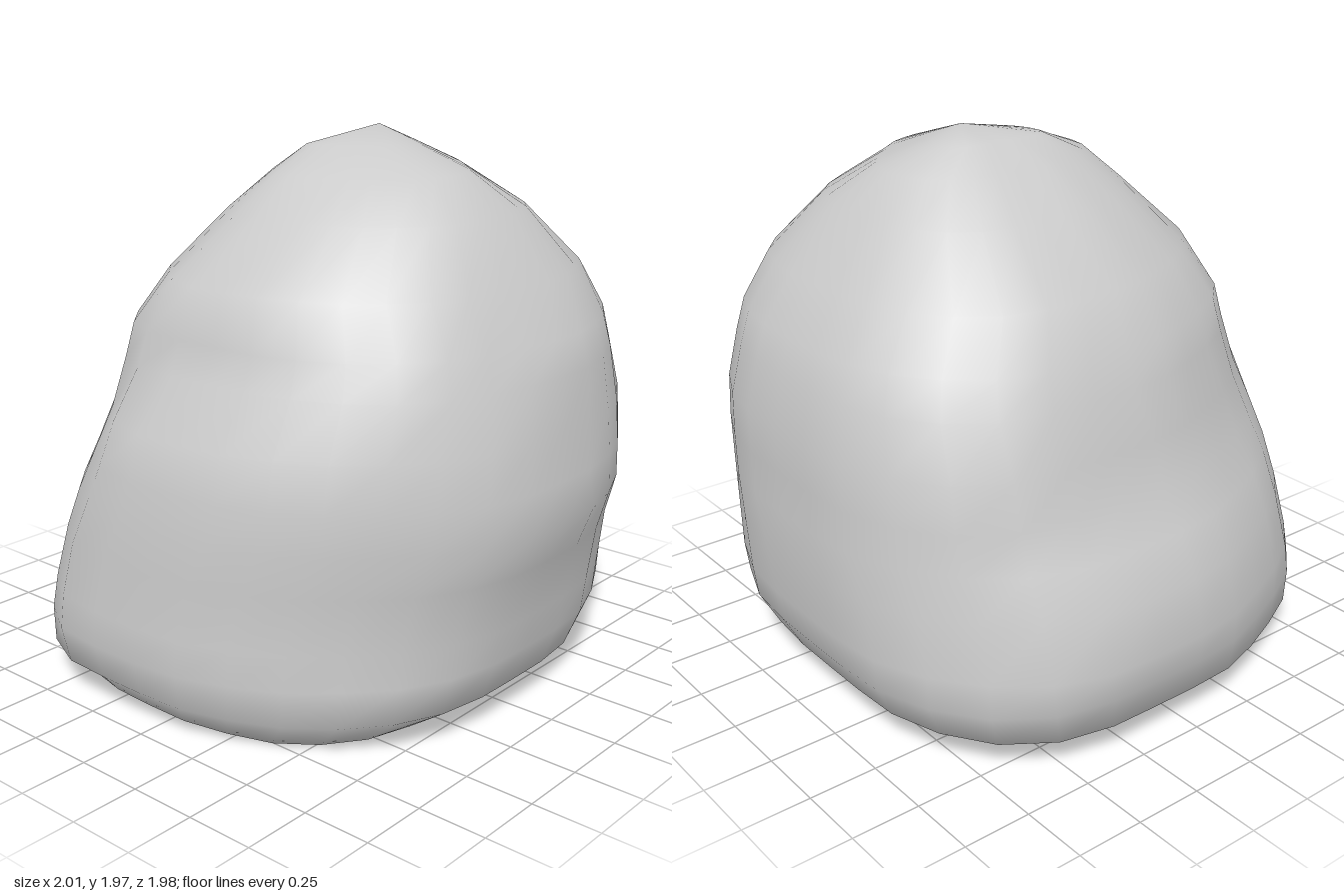
import * as THREE from 'three';

// Each row: height, then the reach of the rock in eight compass directions
// (+x, +x+z, +z, -x+z, -x, -x-z, -z, +x-z).
const LEVELS = [
  [0.05, 0.70, 0.82, 0.89, 0.90, 0.84, 0.92, 0.74, 0.80],
  [0.12, 0.85, 0.94, 0.95, 1.04, 0.94, 1.05, 0.88, 0.97],
  [0.25, 0.89, 0.94, 0.985, 1.04, 0.975, 1.10, 0.95, 1.04],
  [0.37, 0.90, 0.93, 0.97, 1.02, 1.00, 1.09, 0.97, 1.05],
  [0.57, 0.94, 0.94, 0.955, 0.97, 0.965, 1.06, 0.98, 1.05],
  [0.72, 1.00, 0.96, 0.94, 0.92, 0.89, 1.03, 0.975, 1.06],
  [0.86, 0.98, 0.955, 0.915, 0.86, 0.81, 1.02, 0.965, 1.07],
  [1.02, 0.96, 0.94, 0.88, 0.79, 0.775, 0.99, 0.965, 1.06],
  [1.20, 0.93, 0.89, 0.75, 0.74, 0.72, 0.92, 0.92, 1.02],
  [1.32, 0.90, 0.85, 0.72, 0.71, 0.67, 0.86, 0.88, 0.99],
  [1.49, 0.79, 0.75, 0.67, 0.58, 0.58, 0.75, 0.78, 0.90],
  [1.70, 0.65, 0.57, 0.44, 0.37, 0.36, 0.54, 0.61, 0.68],
  [1.83, 0.49, 0.40, 0.30, 0.22, 0.20, 0.38, 0.50, 0.47],
  [1.91, 0.22, 0.10, 0.08, 0.12, 0.08, 0.26, 0.34, 0.30],
];
// How far the edge between each pair of neighbouring directions is worn down
const WEAR = [0.943, 0.92, 0.976, 0.89, 0.96, 0.945, 0.935, 0.915];
const SEGMENTS = 32;
const SHARPNESS = 44;

// Shallow hollow in the front left shoulder
const HOLLOW = new THREE.Vector3(0.82, 1.28, 0.2);

// Rounded polygon bounded by the reaches and the worn edges between them
function ringPoint([y, ...reach], angle) {
  const cx = (reach[0] - reach[4]) / 2;
  const cz = (reach[2] - reach[6]) / 2;
  const local = reach.map((h, i) => {
    const a = (i * Math.PI) / 4;
    return h - cx * Math.cos(a) - cz * Math.sin(a);
  });
  let sum = 0;
  const bound = (a, h) => {
    sum += Math.pow(Math.max(0, Math.cos(angle - a)) / h, SHARPNESS);
  };
  local.forEach((h, i) => {
    const corner = (h + local[(i + 1) % 8]) / (2 * Math.cos(Math.PI / 8));
    bound((i * Math.PI) / 4, h);
    bound(((i + 0.5) * Math.PI) / 4, corner * WEAR[i]);
  });
  const r = Math.pow(sum, -1 / SHARPNESS) * 1.008;
  const p = new THREE.Vector3(cx + r * Math.cos(angle), y, cz + r * Math.sin(angle));

  const dent = 0.05 * Math.exp(-p.distanceToSquared(HOLLOW) / 0.03);
  p.x -= dent * Math.cos(angle);
  p.z -= dent * Math.sin(angle);

  // The underside rests on its front left corner
  if (y < 0.1) p.y -= 0.05 * Math.pow(Math.max(0, Math.cos(angle - 0.785)), 6);
  return p;
}

function boulderGeometry() {
  const positions = [];
  const indices = [];
  for (const level of LEVELS) {
    for (let s = 0; s < SEGMENTS; s++) {
      positions.push(...ringPoint(level, (s / SEGMENTS) * Math.PI * 2).toArray());
    }
  }
  const bottom = positions.length / 3;
  positions.push(0, 0.06, 0);
  positions.push(0.03, 1.965, -0.22);
  const top = bottom + 1;
  const lastRing = (LEVELS.length - 1) * SEGMENTS;

  for (let s = 0; s < SEGMENTS; s++) {
    const n = (s + 1) % SEGMENTS;
    for (let row = 0; row < lastRing; row += SEGMENTS) {
      const a = row + s, b = row + n;
      const c = a + SEGMENTS, d = b + SEGMENTS;
      indices.push(a, c, b, b, c, d);
    }
    indices.push(bottom, s, n);
    indices.push(top, lastRing + n, lastRing + s);
  }

  const geometry = new THREE.BufferGeometry();
  geometry.setAttribute('position', new THREE.Float32BufferAttribute(positions, 3));
  geometry.setIndex(indices);
  geometry.computeVertexNormals();
  return geometry;
}

export function createModel() {
  const group = new THREE.Group();
  const boulder = new THREE.Mesh(
    boulderGeometry(),
    new THREE.MeshStandardMaterial({ color: 0xcccccc })
  );
  boulder.name = 'boulder';
  group.add(boulder);
  return group;
}
